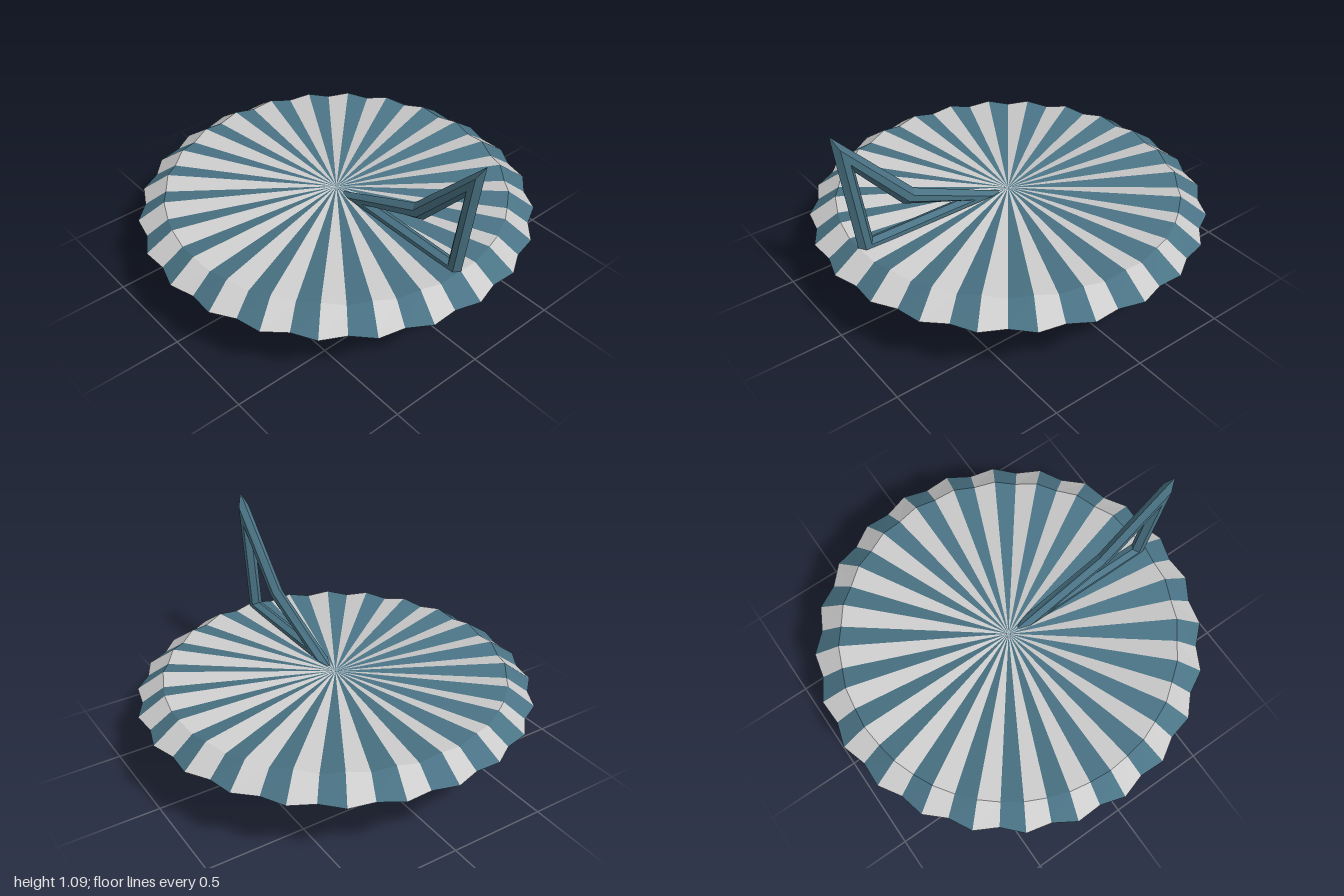
import * as THREE from 'three';

const grey = new THREE.MeshStandardMaterial({ color: 0xcccccc, flatShading: true });
const blue = new THREE.MeshStandardMaterial({ color: 0x4a7385, flatShading: true });

// Mesh from a list of [a, b, c, d] quads
function quadMesh(name, quads, material) {
  const pos = [];
  for (const [a, b, c, d] of quads) pos.push(...a, ...b, ...c, ...a, ...c, ...d);
  const geo = new THREE.BufferGeometry();
  geo.setAttribute('position', new THREE.Float32BufferAttribute(pos, 3));
  geo.computeVertexNormals();
  const mesh = new THREE.Mesh(geo, material);
  mesh.name = name;
  return mesh;
}

// Fluted dial: each profile row is [tip radius, tip y, valley radius, valley y]
const SEGMENTS = 48;
const PROFILE = [
  [0, 0.44, 0, 0.44],
  [0.86, 0.46, 0.855, 0.44],
  [0.995, 0.365, 0.965, 0.365],
  [0.86, 0.272, 0.855, 0.288],
  [0.2, 0.213, 0.2, 0.213],
];

function dialPoint(row, k) {
  const [tr, ty, vr, vy] = PROFILE[row];
  const valley = k % 2 === 1;
  const angle = (k / SEGMENTS) * Math.PI * 2;
  const r = valley ? vr : tr;
  return [r * Math.cos(angle), valley ? vy : ty, r * Math.sin(angle)];
}

function createDial() {
  const dial = new THREE.Group();
  dial.name = 'dial';
  const stripes = [[], []];
  const underside = [];
  for (let k = 0; k < SEGMENTS; k++) {
    for (let row = 0; row < PROFILE.length - 1; row++) {
      const quad = [dialPoint(row, k), dialPoint(row, k + 1), dialPoint(row + 1, k + 1), dialPoint(row + 1, k)];
      (row === 3 ? underside : stripes[k % 2]).push(quad);
    }
  }
  dial.add(
    quadMesh('darkStripes', stripes[0], blue),
    quadMesh('lightStripes', stripes[1], grey),
    quadMesh('underside', underside, grey),
  );
  return dial;
}

// Pointer: a bent triangular frame, bevelled to a ridge inside and outside
function createPointer() {
  const outer = [[0.04, 0.435], [0.86, 0.435], [0.945, 1.085], [0.55, 0.665]];
  const inner = [[0.3, 0.488], [0.785, 0.488], [0.84, 0.865], [0.61, 0.6]];
  // Cross-section around the frame: [blend from outer to inner, z]
  const section = [[0, 0], [0.3, 0.03], [0.7, 0.03], [1, 0], [0.7, -0.03], [0.3, -0.03]];
  const point = (i, s) => {
    const [t, z] = section[s % 6];
    const o = outer[i % 4], n = inner[i % 4];
    return [o[0] + (n[0] - o[0]) * t, o[1] + (n[1] - o[1]) * t, z];
  };
  const quads = [];
  for (let i = 0; i < 4; i++) {
    for (let s = 0; s < 6; s++) {
      quads.push([point(i, s), point(i + 1, s), point(i + 1, s + 1), point(i, s + 1)]);
    }
  }
  return quadMesh('pointer', quads, blue);
}

export function createModel() {
  const model = new THREE.Group();
  model.name = 'sundial';

  // Flared foot
  const foot = new THREE.Mesh(new THREE.CylinderGeometry(0.235, 0.457, 0.22, 16), grey);
  foot.name = 'foot';
  foot.position.y = 0.11;

  model.add(foot, createDial(), createPointer());
  return model;
}
